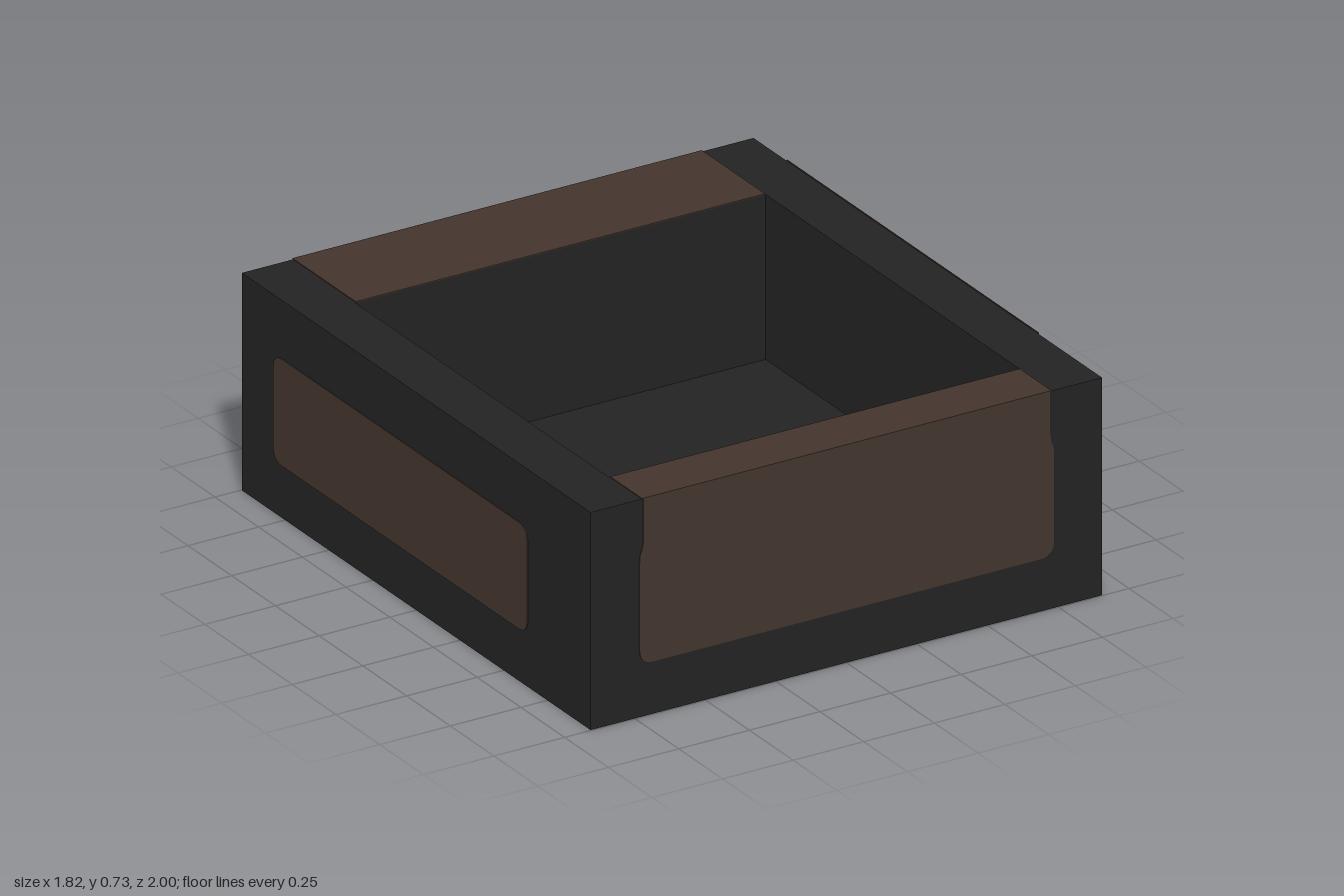
import * as THREE from 'three';

// Overall half sizes and the inner cavity (deeper wall at the back)
const X = 0.909, Z = 1, H = 0.727, FLOOR = 0.175;
const IN_X = 0.727, IN_FRONT = 0.818, IN_BACK = -0.638;
const T = 0.003; // plate thickness

const dark = new THREE.MeshStandardMaterial({ color: 0x232323 });
dark.name = 'charcoal';
const brown = new THREE.MeshStandardMaterial({ color: 0x43352d });
brown.name = 'dark brown';

function add(parent, name, geometry, material) {
  const mesh = new THREE.Mesh(geometry, material);
  mesh.name = name;
  parent.add(mesh);
  return mesh;
}

function extrude(shape, depth) {
  return new THREE.ExtrudeGeometry(shape, { depth, bevelEnabled: false, curveSegments: 6 });
}

// Panel outline with round lower corners; open panels narrow slightly up to the rim
function panelShape(w, open) {
  const r = 0.05, b = FLOOR, s = new THREE.Shape();
  s.moveTo(-w + r, b);
  s.lineTo(w - r, b);
  s.quadraticCurveTo(w, b, w, b + r);
  if (open) {
    const n = w - 0.014;
    s.lineTo(w, 0.51);
    s.bezierCurveTo(w, 0.56, n, 0.54, n, 0.6);
    s.lineTo(n, H);
    s.lineTo(-n, H);
    s.lineTo(-n, 0.6);
    s.bezierCurveTo(-n, 0.54, -w, 0.56, -w, 0.51);
  } else {
    const t = 0.53;
    s.lineTo(w, t - r);
    s.quadraticCurveTo(w, t, w - r, t);
    s.lineTo(-w + r, t);
    s.quadraticCurveTo(-w, t, -w, t - r);
  }
  s.lineTo(-w, b + r);
  s.quadraticCurveTo(-w, b, -w + r, b);
  return s;
}

export function createModel() {
  const model = new THREE.Group();
  model.name = 'openBox';

  // Four walls as one rectangular ring, extruded upward
  const bx = X - T, bz = Z - T, top = H - T;
  const ring = new THREE.Shape([
    new THREE.Vector2(-bx, -bz), new THREE.Vector2(bx, -bz),
    new THREE.Vector2(bx, bz), new THREE.Vector2(-bx, bz),
  ]);
  ring.holes.push(new THREE.Path([
    new THREE.Vector2(-IN_X, -IN_FRONT), new THREE.Vector2(-IN_X, -IN_BACK),
    new THREE.Vector2(IN_X, -IN_BACK), new THREE.Vector2(IN_X, -IN_FRONT),
  ]));
  add(model, 'walls', extrude(ring, top).rotateX(-Math.PI / 2), dark);

  // Floor slab inside the walls
  const floor = new THREE.BoxGeometry(2 * IN_X, FLOOR, IN_FRONT - IN_BACK);
  add(model, 'floor', floor, dark).position.set(0, FLOOR / 2, (IN_FRONT + IN_BACK) / 2);

  // Painted panels: name, half width, reaches the rim, position, turn
  const midZ = -0.088;
  [
    ['frontPanel', 0.734, true, 0, bz, 0],
    ['backPanel', 0.734, true, 0, -bz, Math.PI],
    ['leftPanel', 0.733, true, bx, midZ, Math.PI / 2],
    ['rightPanel', 0.727, false, -bx, midZ, -Math.PI / 2],
  ].forEach(([name, w, open, x, z, turn]) => {
    const panel = add(model, name, extrude(panelShape(w, open), T), brown);
    panel.position.set(x, 0, z);
    panel.rotation.y = turn;
  });

  // Brown strips on top of the front and back walls
  [['frontRim', IN_FRONT, Z], ['backRim', -Z, IN_BACK]].forEach(([name, z0, z1]) => {
    const strip = new THREE.BoxGeometry(2 * IN_X - 0.004, T, z1 - z0);
    add(model, name, strip, brown).position.set(0, H - T / 2, (z0 + z1) / 2);
  });

  return model;
}
